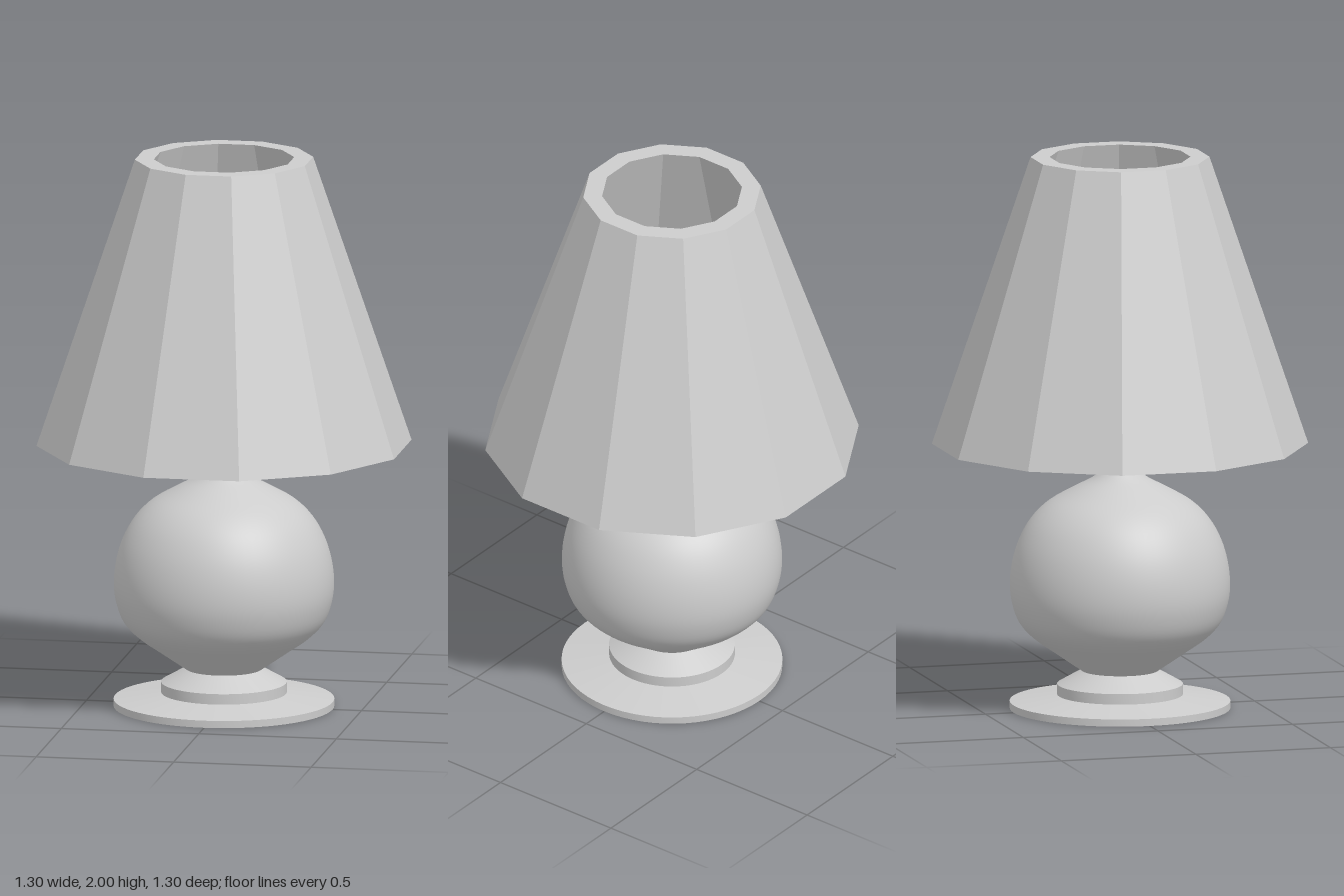
import * as THREE from 'three';
import { toCreasedNormals } from 'three/addons/utils/BufferGeometryUtils.js';

const toPoints = (pairs) => pairs.map(([r, y]) => new THREE.Vector2(r, y));

export function createModel() {
  const lamp = new THREE.Group();
  lamp.name = 'tableLamp';
  const grey = new THREE.MeshStandardMaterial({ color: 0xcccccc });
  grey.name = 'lightGrey';

  const add = (name, geometry) => {
    const mesh = new THREE.Mesh(geometry, grey);
    mesh.name = name;
    lamp.add(mesh);
  };

  // Foot: thin, slightly domed plate with a stepped collar
  const foot = toPoints([
    [0, 0], [0.395, 0], [0.395, 0.026], [0.225, 0.05],
    [0.225, 0.088], [0.137, 0.138], [0, 0.138],
  ]);
  add('foot', toCreasedNormals(new THREE.LatheGeometry(foot, 64), 0.3));

  // Body: smooth rounded vase narrowing to the neck
  const body = new THREE.SplineCurve(toPoints([
    [0.137, 0.137], [0.235, 0.205], [0.31, 0.258], [0.36, 0.312], [0.386, 0.38],
    [0.394, 0.45], [0.386, 0.53], [0.362, 0.61], [0.32, 0.685], [0.26, 0.745],
    [0.175, 0.795], [0.105, 0.832], [0.066, 0.862],
  ])).getPoints(48);
  add('body', new THREE.LatheGeometry(body, 64));

  // Stem: reaches up inside the shade
  const stem = new THREE.CylinderGeometry(0.063, 0.063, 0.38, 40);
  stem.translate(0, 0.99, 0);
  add('stem', stem);

  // Shade: twelve-sided, thick-walled and open at both ends, flats facing the axes
  const shade = toPoints([
    [0.673, 0.96], [0.32, 2], [0.252, 2], [0.608, 0.96], [0.673, 0.96],
  ]);
  const shadeGeometry = new THREE.LatheGeometry(shade, 12, Math.PI / 12).toNonIndexed();
  shadeGeometry.computeVertexNormals();
  add('shade', shadeGeometry);

  return lamp;
}
